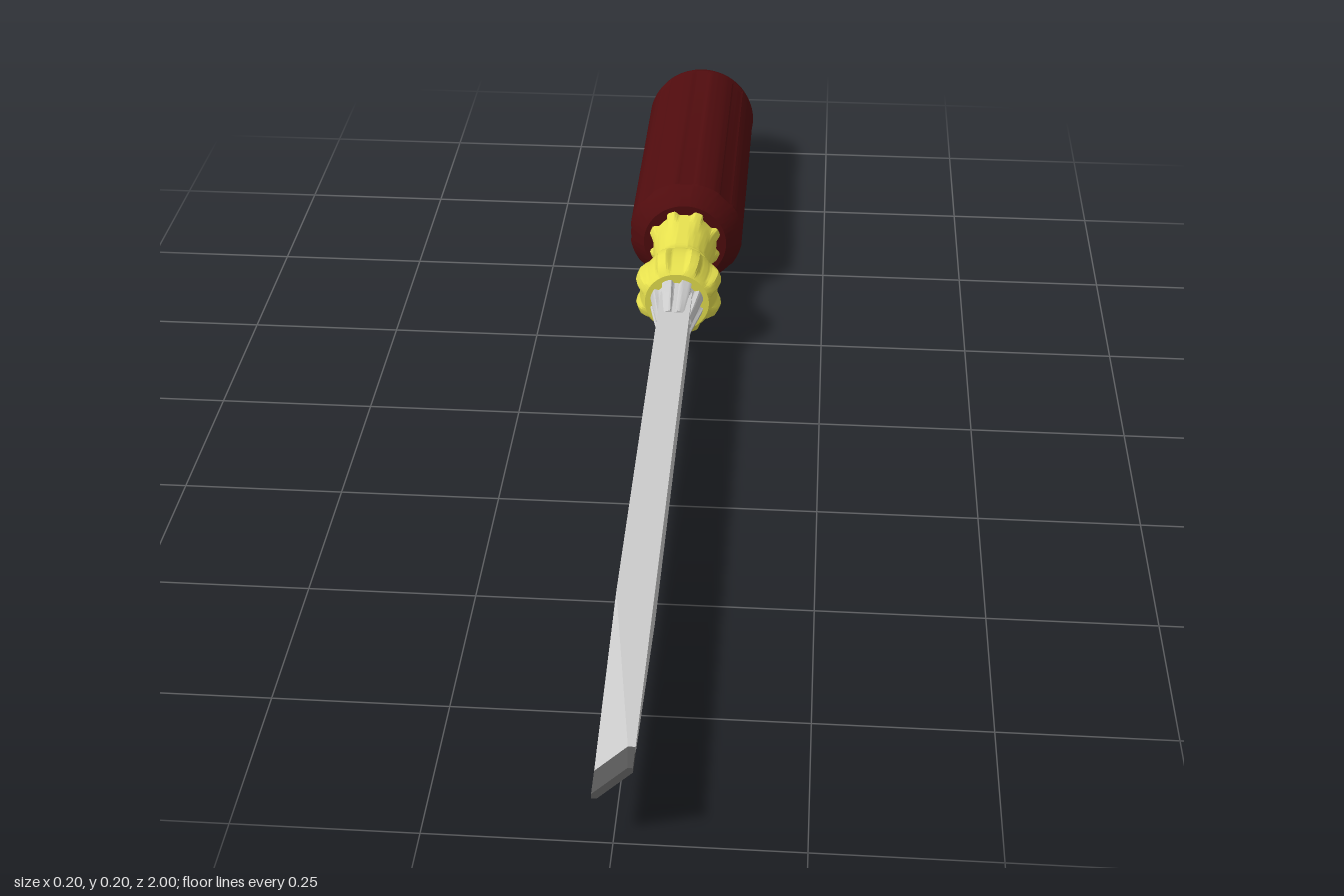
import * as THREE from 'three';
import { toCreasedNormals } from 'three/addons/utils/BufferGeometryUtils.js';

const AXIS_Y = 0.102;
const RED = 0x500c0e, YELLOW = 0xe6e04e, STEEL = 0xcccccc, DARK = 0x555555;

// Skin through closed sections (counter-clockwise from +z, ordered by rising z), capped at both ends
function loft(sections, crease) {
  const n = sections[0].length, pos = [], idx = [];
  sections.forEach(s => s.forEach(p => pos.push(...p)));
  for (let i = 0; i < sections.length - 1; i++) {
    for (let j = 0; j < n; j++) {
      const a = i * n + j, b = i * n + (j + 1) % n;
      idx.push(a, b, b + n, a, b + n, a + n);
    }
  }
  const last = sections.length - 1;
  [[0, true], [last, false]].forEach(([s, back]) => {
    const c = pos.length / 3;
    pos.push(0, 0, sections[s][0][2]);
    for (let j = 0; j < n; j++) {
      const a = s * n + j, b = s * n + (j + 1) % n;
      idx.push(c, back ? b : a, back ? a : b);
    }
  });
  const g = new THREE.BufferGeometry();
  g.setAttribute('position', new THREE.Float32BufferAttribute(pos, 3));
  g.setIndex(idx);
  return toCreasedNormals(g, crease);
}

// Rounded bump, 1 at the middle of each of eight grooves and 0 outside them
function groove(theta, halfWidth) {
  const step = Math.PI / 4;
  const d = Math.abs(theta - Math.round(theta / step) * step) / halfWidth;
  return Math.min(1, Math.max(0, (1 - d) * 3));
}

// Turned part from [z, radius, groove depth] rows
function turned(rows, halfWidth = 0.25, n = 128) {
  return loft(rows.map(([z, r, depth = 0]) =>
    Array.from({ length: n }, (_, j) => {
      const t = j / n * Math.PI * 2;
      const rad = r - depth * groove(t, halfWidth);
      return [rad * Math.cos(t), rad * Math.sin(t), z];
    })), 0.5);
}

// Square bar clipped to thickness 2t across one diagonal
function bladeSection(z, t, h = 0.038) {
  const k = Math.SQRT1_2;
  return [[h, 0], [h - t, t], [t - h, t], [-h, 0], [t - h, -t], [h - t, -t]]
    .map(([u, v]) => [(u - v) * k, (u + v) * k, z]);
}

export function createModel() {
  const model = new THREE.Group();
  model.name = 'screwdriver';
  const add = (name, geometry, color) => {
    const mesh = new THREE.Mesh(geometry, new THREE.MeshStandardMaterial({ color }));
    mesh.name = name;
    mesh.position.y = AXIS_Y;
    model.add(mesh);
  };

  // Square shank ground down to a diagonal flat blade
  add('shank', loft([
    bladeSection(-0.2, 0.038), bladeSection(0.64, 0.038), bladeSection(0.96, 0.007),
  ], 0.1), STEEL);
  add('bladeTip', loft([bladeSection(0.96, 0.0071), bladeSection(1, 0.005)], 0.1), DARK);

  // Fluted cone where the shank enters the collar
  add('bolster', turned([
    [-0.225, 0.047, 0.006], [-0.2, 0.046, 0.008], [-0.165, 0.039, 0.008], [-0.128, 0.031, 0.004],
  ], 0.2), STEEL);

  // Scalloped collar, waist and flared neck
  add('collar', turned([
    [-0.43, 0.067, 0.009], [-0.415, 0.065, 0.009], [-0.395, 0.057, 0.002], [-0.37, 0.053],
    [-0.34, 0.049], [-0.328, 0.048], [-0.326, 0.051], [-0.318, 0.051], [-0.316, 0.048],
    [-0.308, 0.052], [-0.295, 0.06, 0.001], [-0.28, 0.069, 0.004], [-0.262, 0.076, 0.009],
    [-0.245, 0.077, 0.01], [-0.225, 0.072, 0.009], [-0.212, 0.064, 0.005], [-0.206, 0.055],
  ], 0.27), YELLOW);

  // Grip with shallow lengthwise grooves
  add('grip', turned([
    [-0.985, 0.068], [-0.983, 0.074], [-0.976, 0.084], [-0.965, 0.093], [-0.953, 0.099],
    [-0.94, 0.102], [-0.93, 0.102, 0.004], [-0.465, 0.102, 0.004], [-0.455, 0.102, 0.002],
    [-0.445, 0.096], [-0.425, 0.08], [-0.42, 0.074],
  ], 0.17), RED);

  // Butt cap
  add('endCap', turned([
    [-1, 0.056], [-0.997, 0.06], [-0.99, 0.063], [-0.975, 0.063],
  ]), YELLOW);

  return model;
}
